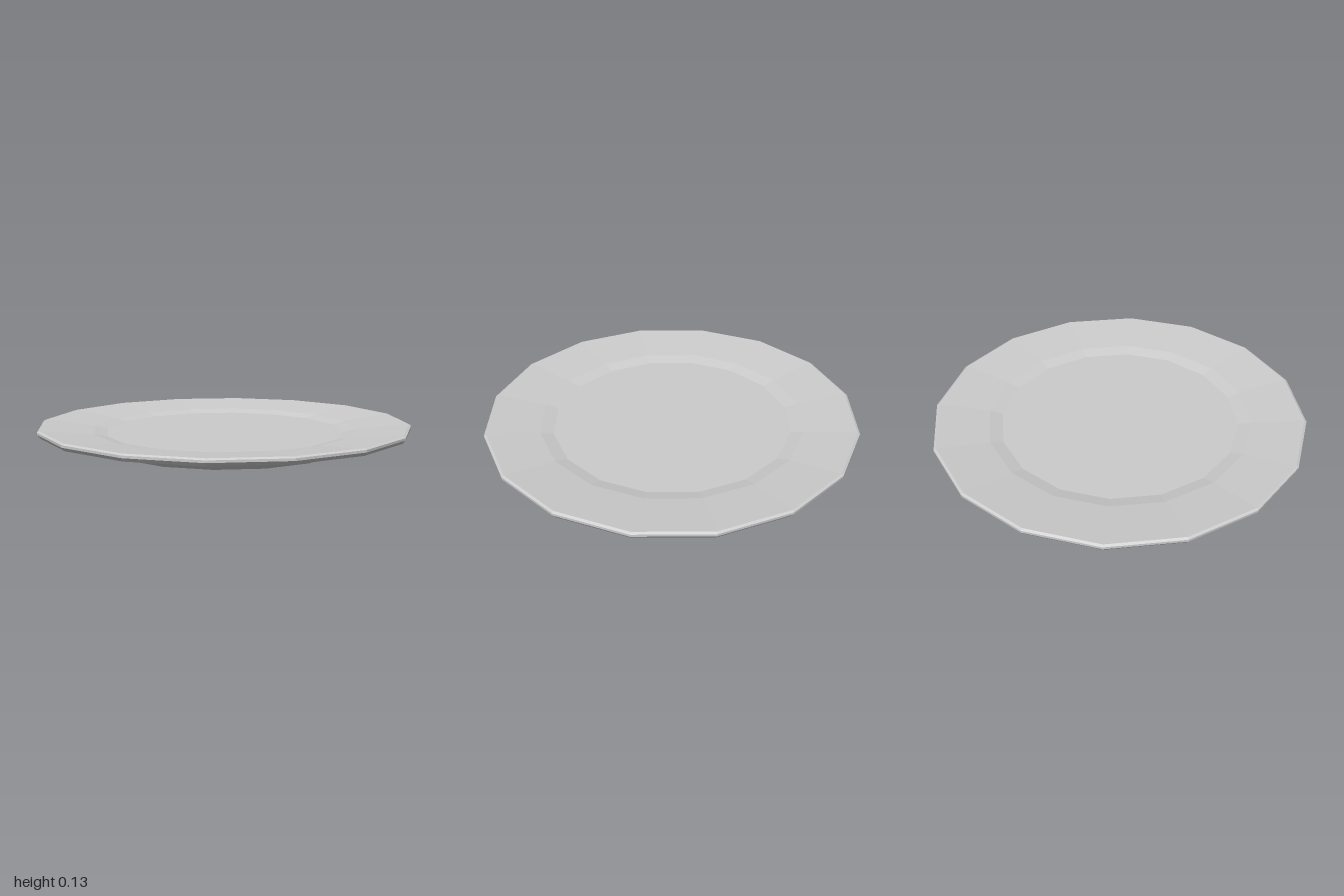
import * as THREE from 'three';

const SIDES = 16;

// Closed cross-section: underside from the centre out, round the lip, back over the top.
const PROFILE = [
  [0, 0], [0.64, 0],        // flat foot
  [0.71, 0.05],             // foot flare
  [0.985, 0.09],            // underside of the rim
  [1, 0.108], [1, 0.12],    // outer lip
  [0.988, 0.127],           // lip crest
  [0.71, 0.098],            // sloping rim
  [0.64, 0.082], [0, 0.082] // well
];

export function createModel() {
  const group = new THREE.Group();
  group.name = 'dinnerPlate';

  const points = PROFILE.map(([r, y]) => new THREE.Vector2(r, y));
  const geometry = new THREE.LatheGeometry(points, SIDES).toNonIndexed();
  geometry.computeVertexNormals();

  const plate = new THREE.Mesh(
    geometry,
    new THREE.MeshStandardMaterial({ color: 0xcccccc, flatShading: true })
  );
  plate.name = 'plate';
  group.add(plate);
  return group;
}
